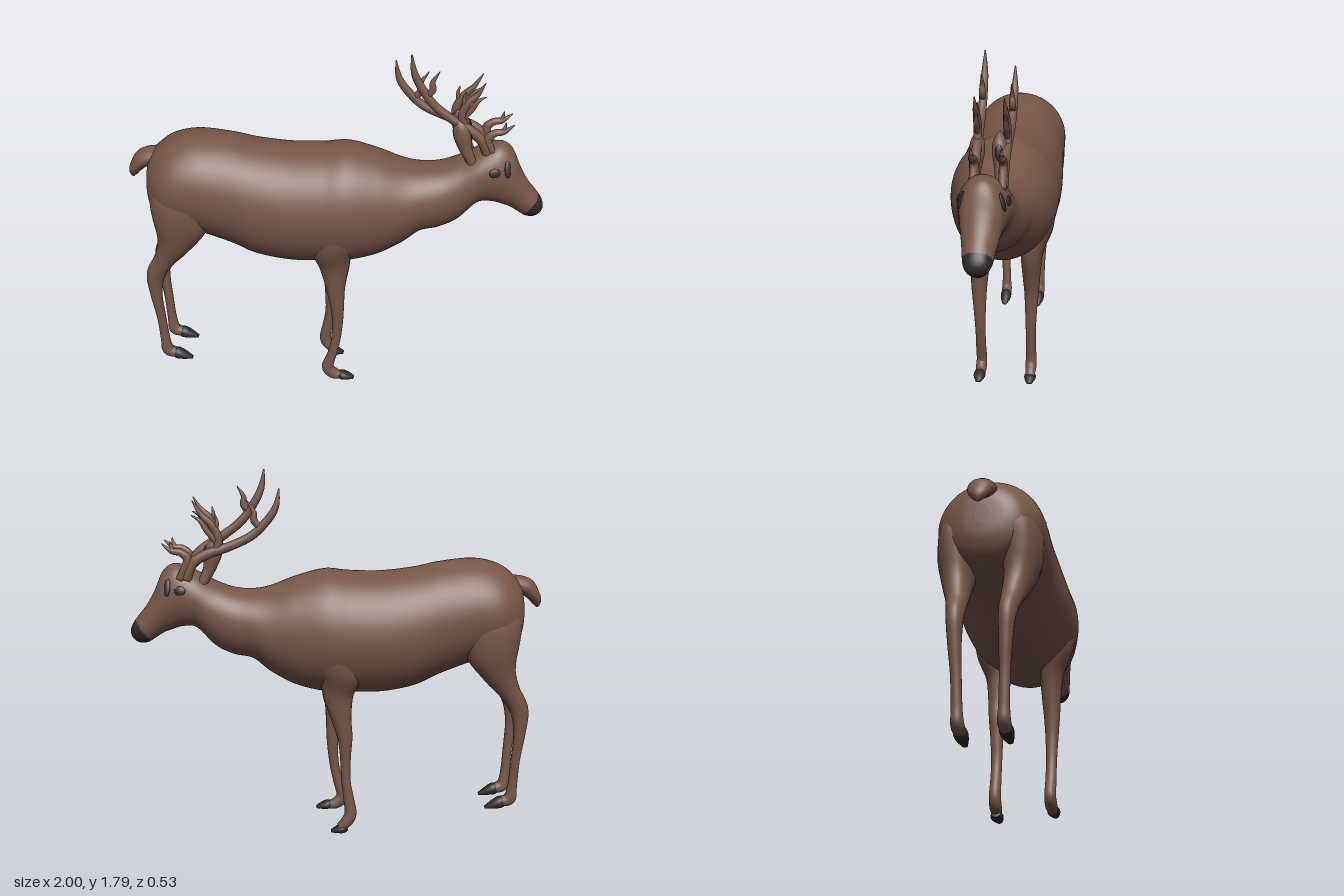
import * as THREE from 'three';

const coat = new THREE.MeshStandardMaterial({ color: 0x765647 });
coat.name = 'brown coat';
const dark = new THREE.MeshStandardMaterial({ color: 0x2e2929 });
dark.name = 'dark hoof and nose';

// Smooth interpolation through rows of numbers
function sample(rows, u) {
  const last = rows.length - 1;
  const i = Math.min(Math.floor(u), last - 1), t = u - i;
  const [p, q, r, s] = [i - 1, i, i + 1, i + 2].map(k => rows[Math.max(0, Math.min(last, k))]);
  return q.map((v, k) => {
    const m0 = (r[k] - p[k]) / 2, m1 = (s[k] - q[k]) / 2, d = r[k] - v;
    return v + t * (m0 + t * (3 * d - 2 * m0 - m1 + t * (m0 + m1 - 2 * d)));
  });
}

// Elliptical loft through rows [x, y, z, a, b]: a in the xy plane, b along z.
// upright keeps the rings vertical; isDark picks faces for the second material.
function loft(name, rows, { sides = 20, sub = 6, material = coat, upright = false, isDark } = {}) {
  const n = (rows.length - 1) * sub, pos = [], light = [], black = [];
  const at = i => sample(rows, i / sub);
  for (let i = 0; i <= n; i++) {
    const [x, y, z, a, b] = at(i);
    const e = at(Math.min(n, i + 0.5)), s = at(Math.max(0, i - 0.5));
    const t = upright ? new THREE.Vector2(1, 0) : new THREE.Vector2(e[0] - s[0], e[1] - s[1]).normalize();
    for (let j = 0; j < sides; j++) {
      const w = j / sides * Math.PI * 2, c = Math.max(a, 0.001) * Math.cos(w);
      pos.push(x - t.y * c, y + t.x * c, z + Math.max(b, 0.001) * Math.sin(w));
    }
  }
  const first = pos.length / 3;
  pos.push(...at(0).slice(0, 3), ...at(n).slice(0, 3));
  const face = (...f) => {
    const mid = k => f.reduce((sum, v) => sum + pos[v * 3 + k], 0) / 3;
    (isDark && isDark(mid(0), mid(1)) ? black : light).push(...f);
  };
  for (let j = 0; j < sides; j++) {
    const k = (j + 1) % sides, end = n * sides;
    face(first, k, j);
    for (let i = 0; i < n; i++) {
      const p = i * sides, q = p + sides;
      face(p + j, p + k, q + j);
      face(p + k, q + k, q + j);
    }
    face(first + 1, end + j, end + k);
  }
  const geo = new THREE.BufferGeometry();
  geo.setAttribute('position', new THREE.Float32BufferAttribute(pos, 3));
  geo.setIndex([...light, ...black]);
  geo.computeVertexNormals();
  geo.addGroup(0, light.length, 0);
  geo.addGroup(light.length, black.length, 1);
  const mesh = new THREE.Mesh(geo, isDark ? [material, dark] : material);
  mesh.name = name;
  return mesh;
}

// Flattened oval lying on a surface with the given normal
function patch(name, p, normal, w, h) {
  const mesh = new THREE.Mesh(new THREE.SphereGeometry(1, 20, 12), dark);
  mesh.name = name;
  mesh.scale.set(w, h, 0.008);
  mesh.position.set(...p);
  mesh.lookAt(p[0] + normal[0], p[1] + normal[1], p[2] + normal[2]);
  return mesh;
}

// Branching antler; lag moves the outer branches back and down
function antler(name, z, lag) {
  const group = new THREE.Group();
  group.name = name;
  const branch = (part, pts) => group.add(loft(part, pts.map(([x, y, r, dz = 0]) => {
    const k = lag * Math.max(0, Math.min(1, (0.7 - x) / 0.35));
    return [x - 0.07 * k, y - 0.08 * k, z + dz, r, r * 0.9];
  }), { sides: 12 }));
  branch('mainBeam', [[0.72, 1.28, 0.025], [0.69, 1.36, 0.025], [0.63, 1.42, 0.024], [0.55, 1.47, 0.022],
    [0.46, 1.54, 0.021], [0.4, 1.62, 0.02], [0.36, 1.7, 0.016], [0.345, 1.79, 0.003]]);
  branch('browTine', [[0.75, 1.28, 0.02], [0.71, 1.37, 0.022], [0.74, 1.41, 0.018], [0.785, 1.42, 0.014], [0.83, 1.455, 0.002]]);
  branch('browFork', [[0.77, 1.41, 0.013], [0.785, 1.435, 0.01], [0.79, 1.465, 0.002]]);
  branch('middleTine', [[0.6, 1.43, 0.02], [0.585, 1.5, 0.02], [0.61, 1.56, 0.018], [0.65, 1.6, 0.013], [0.685, 1.66, 0.002]]);
  branch('middleSpur', [[0.6, 1.54, 0.014], [0.59, 1.575, 0.01], [0.597, 1.615, 0.002]]);
  branch('lowerSpur', [[0.59, 1.48, 0.014], [0.63, 1.53, 0.014], [0.655, 1.57, 0.01], [0.69, 1.59, 0.002]]);
  branch('upperTine', [[0.42, 1.59, 0.016], [0.445, 1.62, 0.017], [0.445, 1.66, 0.012], [0.475, 1.71, 0.002]]);
  return group;
}

export function createModel() {
  const model = new THREE.Group();

  // Trunk, neck and head: x, top, bottom, half width
  const outline = [
    [-0.91, 1.15, 1.05, 0.03], [-0.9, 1.22, 0.98, 0.11], [-0.86, 1.28, 0.91, 0.18], [-0.78, 1.335, 0.88, 0.23],
    [-0.66, 1.36, 0.85, 0.243], [-0.5, 1.345, 0.79, 0.245], [-0.38, 1.32, 0.735, 0.255], [-0.22, 1.302, 0.705, 0.262],
    [-0.06, 1.305, 0.705, 0.262], [0.06, 1.315, 0.71, 0.26], [0.2, 1.28, 0.745, 0.23], [0.32, 1.235, 0.81, 0.197],
    [0.41, 1.22, 0.88, 0.172], [0.5, 1.23, 0.9, 0.153], [0.59, 1.265, 0.945, 0.135], [0.68, 1.315, 1.035, 0.122],
    [0.75, 1.345, 1.04, 0.112], [0.8, 1.342, 1.025, 0.1], [0.84, 1.305, 1.01, 0.09], [0.88, 1.215, 0.985, 0.078],
    [0.92, 1.145, 0.962, 0.069], [0.96, 1.095, 0.962, 0.06], [0.985, 1.06, 0.98, 0.045], [0.997, 1.035, 1, 0.022], [1, 1.02, 1.015, 0.004]];
  model.add(loft('bodyAndHead', outline.map(([x, t, b, w]) => [x, (t + b) / 2, 0, (t - b) / 2, w]),
    { sides: 56, sub: 9, upright: true, isDark: (x, y) => x - 0.7 * (y - 1) > 0.918 }));

  model.add(loft('tail', [[-0.83, 1.24, 0, 0.04, 0.06], [-0.92, 1.22, 0, 0.045, 0.062],
    [-0.965, 1.175, 0, 0.032, 0.05], [-0.982, 1.14, 0, 0.022, 0.03], [-0.987, 1.115, 0, 0.004, 0.005]]));

  for (const s of [1, -1]) {
    const side = s > 0 ? 'left' : 'right';
    const mirror = rows => rows.map(([x, y, z, a, b]) => [x, y, z * s, a, b]);

    // Hind legs
    model.add(loft(side + 'HindLeg', mirror([
      [-0.72, 1.2, 0.13, 0.08, 0.05], [-0.725, 1.08, 0.14, 0.155, 0.09], [-0.745, 0.94, 0.145, 0.135, 0.085],
      [-0.785, 0.82, 0.135, 0.085, 0.065], [-0.84, 0.72, 0.12, 0.053, 0.048], [-0.893, 0.62, 0.112, 0.046, 0.038],
      [-0.9, 0.5, 0.108, 0.03, 0.03], [-0.886, 0.36, 0.102, 0.023, 0.024], [-0.876, 0.22, 0.098, 0.024, 0.024],
      [-0.866, 0.155, 0.096, 0.032, 0.028], [-0.83, 0.137, 0.095, 0.027, 0.027], [-0.8, 0.128, 0.095, 0.018, 0.022]])));
    model.add(loft(side + 'HindHoof', mirror([[-0.845, 0.138, 0.095, 0.02, 0.02], [-0.82, 0.134, 0.095, 0.031, 0.03],
      [-0.785, 0.122, 0.095, 0.023, 0.027], [-0.74, 0.106, 0.095, 0.006, 0.012]]), { material: dark }));

    // Front legs: shared shoulder, different lower poses
    const shoulder = [[0.03, 1.06, 0.17, 0.06, 0.05], [0.015, 0.96, 0.18, 0.1, 0.066], [-0.01, 0.84, 0.168, 0.1, 0.068],
      [0, 0.72, 0.135, 0.076, 0.056]];
    const lower = s > 0
      ? [[0.005, 0.6, 0.13, 0.05, 0.046], [0.012, 0.5, 0.13, 0.037, 0.038], [0.016, 0.4, 0.128, 0.029, 0.031],
        [0.008, 0.28, 0.126, 0.024, 0.026], [-0.012, 0.18, 0.126, 0.024, 0.026], [-0.035, 0.1, 0.126, 0.03, 0.027],
        [-0.005, 0.06, 0.126, 0.03, 0.028], [0.045, 0.048, 0.126, 0.018, 0.022]]
      : [[-0.015, 0.6, 0.13, 0.05, 0.046], [-0.033, 0.5, 0.13, 0.037, 0.038], [-0.036, 0.4, 0.128, 0.027, 0.031],
        [-0.038, 0.28, 0.127, 0.023, 0.026], [-0.052, 0.18, 0.127, 0.026, 0.026], [-0.062, 0.1, 0.128, 0.03, 0.028],
        [-0.04, 0.055, 0.128, 0.029, 0.028], [-0.005, 0.03, 0.128, 0.017, 0.022]];
    model.add(loft(side + 'FrontLeg', mirror([...shoulder, ...lower])));
    const [hx, hy] = s > 0 ? [0.1, 0.037] : [0.035, 0.008];
    model.add(loft(side + 'FrontHoof', mirror([[hx - 0.08, hy + 0.02, 0.127, 0.018, 0.02], [hx - 0.058, hy + 0.014, 0.127, 0.024, 0.03],
      [hx - 0.03, hy + 0.008, 0.127, 0.018, 0.026], [hx, hy, 0.127, 0.006, 0.013]]), { material: dark }));

    // Ears with dark inner faces
    model.add(loft(side + 'Ear', mirror([[0.65, 1.25, 0.06, 0.022, 0.022], [0.61, 1.33, 0.053, 0.03, 0.026],
      [0.592, 1.4, 0.05, 0.043, 0.035], [0.578, 1.45, 0.048, 0.032, 0.027], [0.57, 1.485, 0.046, 0.004, 0.004]])));
    model.add(patch(side + 'InnerEar', [0.631, 1.405, 0.05 * s], [1, 0.15, 0.1 * s], 0.017, 0.036));

    // Eye and the dark marking in front of it
    model.add(patch(side + 'Eye', [0.75, 1.232, 0.106 * s], [0.2, 0.25, s], 0.028, 0.022));
    model.add(patch(side + 'EyeMarking', [0.81, 1.245, 0.089 * s], [0.3, 0.33, s], 0.016, 0.042));
  }

  model.add(antler('leftAntler', 0.046, 0), antler('rightAntler', -0.08, 1));
  return model;
}
